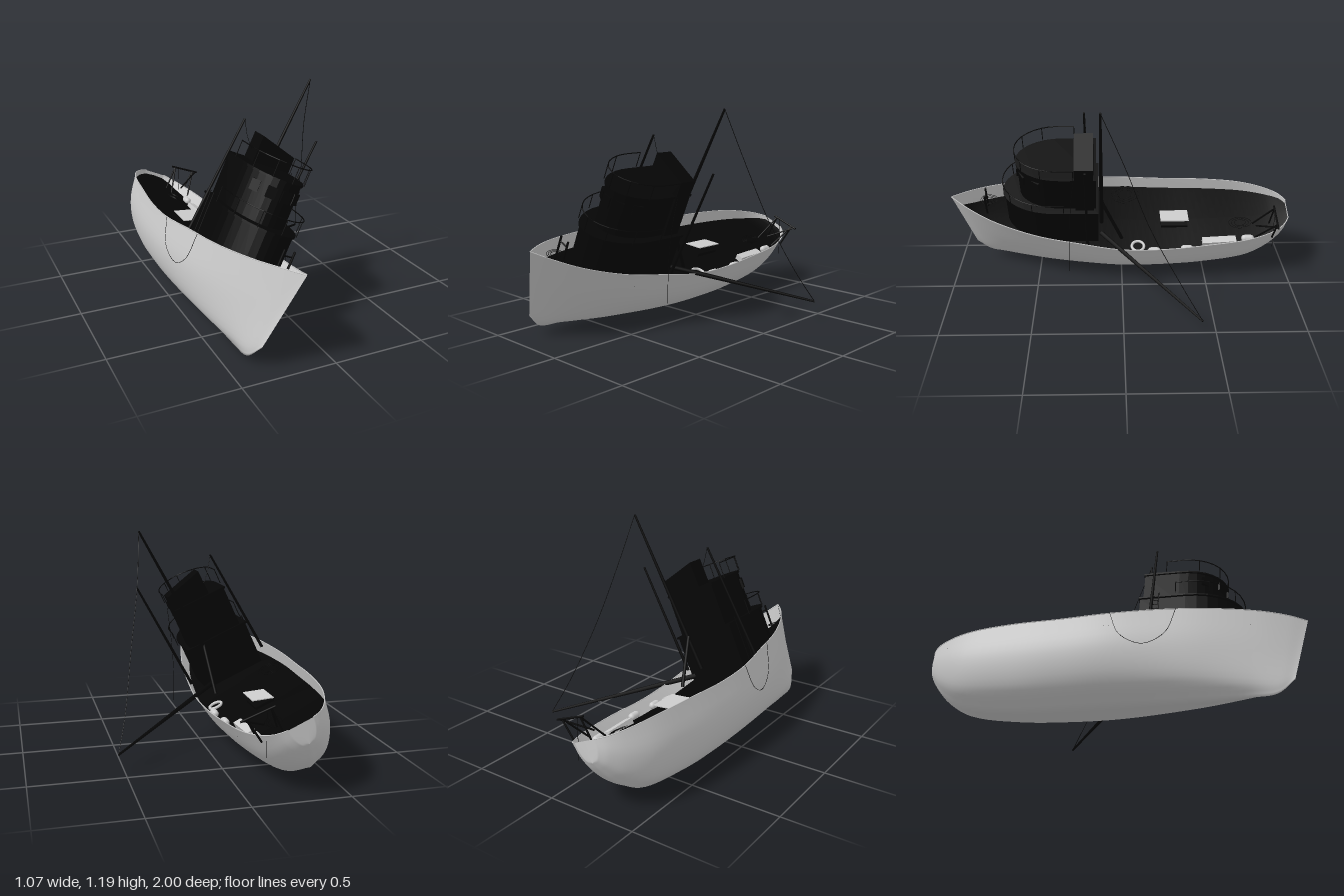
import * as THREE from 'three';

const V = (x, y, z) => new THREE.Vector3(x, y, z);
const ROLL = THREE.MathUtils.degToRad(24.5), C = Math.cos(ROLL), S = Math.sin(ROLL);
const KEEL = V(-0.396, 0.013, 0);
// upright (unrolled) ship coordinates of a point given in the final frame
const W = (x, y, z) => V((x - KEEL.x) * C - (y - KEEL.y) * S, (x - KEEL.x) * S + (y - KEEL.y) * C, z);

export function createModel() {
  const root = new THREE.Group();
  const ship = new THREE.Group();
  ship.name = 'listingShip';
  ship.position.copy(KEEL);
  ship.rotation.z = -ROLL;
  root.add(ship);

  const grey = new THREE.MeshStandardMaterial({ color: 0xcccccc });
  const greyThin = new THREE.MeshStandardMaterial({ color: 0xcccccc, side: THREE.DoubleSide });
  const black = new THREE.MeshStandardMaterial({ color: 0x050505 });
  const blackThin = new THREE.MeshStandardMaterial({ color: 0x050505, side: THREE.DoubleSide });

  const add = (name, geo, mat = black, p = V(0, 0, 0)) => {
    const m = new THREE.Mesh(geo, mat);
    m.name = name;
    m.position.copy(p);
    ship.add(m);
    return m;
  };
  const box = (name, w, h, d, p, mat) => add(name, new THREE.BoxGeometry(w, h, d), mat, p);
  // tapered round bar between two points
  const bar = (name, a, b, r0, r1 = r0, sides = 8) => {
    const m = add(name, new THREE.CylinderGeometry(r1, r0, a.distanceTo(b), sides), black, a.clone().lerp(b, 0.5));
    m.quaternion.setFromUnitVectors(V(0, 1, 0), b.clone().sub(a).normalize());
  };
  const rope = (name, pts, r = 0.0013, n = 24, mat = black) =>
    add(name, new THREE.TubeGeometry(new THREE.CatmullRomCurve3(pts), n, r, 5), mat);

  // surface through a grid of points
  const loft = (rows) => {
    const n = rows[0].length, pos = [], idx = [];
    rows.forEach((r) => r.forEach((p) => pos.push(p.x, p.y, p.z)));
    for (let i = 0; i < rows.length - 1; i++) for (let j = 0; j < n - 1; j++) {
      const a = i * n + j, b = a + n;
      idx.push(a, a + 1, b, a + 1, b + 1, b);
    }
    const g = new THREE.BufferGeometry();
    g.setAttribute('position', new THREE.Float32BufferAttribute(pos, 3));
    g.setIndex(idx);
    g.computeVertexNormals();
    return g;
  };

  // Hull stations: top z, bottom z, half width, gunwale height, keel height, fullness
  const stations = [
    [-1, -1, 0.065, 0.402, 0.29, 1], [-0.97, -0.97, 0.115, 0.397, 0.24, 1], [-0.9, -0.9, 0.167, 0.392, 0.15, 1],
    [-0.75, -0.77, 0.223, 0.39, 0.06, 1], [-0.5, -0.5, 0.259, 0.384, 0.01, 1], [-0.25, -0.25, 0.277, 0.372, 0, 1],
    [0, 0, 0.283, 0.38, 0, 1], [0.25, 0.25, 0.258, 0.41, 0, 0.95], [0.5, 0.47, 0.218, 0.436, 0, 0.8],
    [0.75, 0.68, 0.142, 0.477, 0.005, 0.6], [0.9, 0.81, 0.068, 0.511, 0.02, 0.4], [1, 0.9, 0.001, 0.535, 0.11, 0.2],
  ];
  const gunwale = new THREE.CatmullRomCurve3(stations.map((s) => V(s[2], s[3], s[0])));
  const keel = new THREE.CatmullRomCurve3(stations.map((s) => V(s[5], s[4], s[1])));
  const hullPoint = (u, v) => {
    const g = gunwale.getPoint(u), k = keel.getPoint(u), f = k.x;
    const sec = new THREE.CatmullRomCurve3([
      V(0, 0, 0), V(0.25 + 0.25 * f, 0.13, 0), V(0.55 + 0.3 * f, 0.5, 0), V(1, 1, 0)]).getPoint(Math.abs(v));
    const L = THREE.MathUtils.lerp;
    return V(Math.sign(v) * sec.x * g.x, L(k.y, g.y, sec.y), L(k.z, g.z, sec.y));
  };
  const NU = 66, NV = 28, rows = [], deckRows = [];
  for (let i = 0; i <= NU; i++) {
    const row = [], u = i / NU;
    for (let j = 0; j <= NV; j++) row.push(hullPoint(u, (j / NV) * 2 - 1));
    if (i === 0) rows.push(row.map((p) => V(0, p.y, p.z))); // closes the stern
    rows.push(row);
    const e = hullPoint(u, 0.87);
    deckRows.push([V(-e.x, e.y, e.z), V(0, e.y + 0.004, e.z), e]);
  }
  add('hull', loft(rows), greyThin);
  add('deck', loft(deckRows), blackThin);
  for (const s of [-1, 1]) {
    const pts = [];
    for (let i = 0; i <= 30; i++) pts.push(hullPoint(i / 30, s));
    rope('gunwaleTrim', pts, 0.003, 60, grey);
  }

  // Deckhouse tiers: straight sides with a rounded front
  const plan = (hw, back, mid, front) => {
    const p = [[-hw, back]];
    for (let i = 0; i <= 16; i++) {
      const t = Math.PI * (1 - i / 16);
      p.push([hw * Math.cos(t), mid + (front - mid) * Math.sin(t)]);
    }
    p.push([hw, back]);
    return p;
  };
  const extrude = (outline, depth) => new THREE.ExtrudeGeometry(
    new THREE.Shape(outline.map((q) => new THREE.Vector2(...q))), { depth, bevelEnabled: false });
  const tier = (name, outline, top, h) => add(name, extrude(outline, h).rotateX(Math.PI / 2).translate(0, top, 0));
  const railing = (name, outline, y, h) => {
    const pts = outline.map(([x, z]) => V(x, y, z));
    for (let i = 1; i < pts.length; i++) {
      bar(name, pts[i - 1].clone().setY(y + h), pts[i].clone().setY(y + h), 0.003, 0.003, 5);
    }
    pts.forEach((p, i) => { if (i % 3 === 0) bar(name + 'Post', p, p.clone().setY(y + h), 0.0025, 0.0025, 5); });
  };
  tier('lowerHouse', plan(0.185, 0.14, 0.38, 0.68), 0.6, 0.26);
  tier('bridgeDeck', plan(0.195, 0.135, 0.38, 0.69), 0.608, 0.012);
  tier('wheelhouse', plan(0.155, 0.15, 0.34, 0.59), 0.845, 0.25);
  tier('wheelhouseRoof', plan(0.163, 0.145, 0.34, 0.598), 0.853, 0.012);
  railing('bridgeRailing', plan(0.21, 0.33, 0.4, 0.685), 0.605, 0.085);
  railing('roofRailing', plan(0.172, 0.27, 0.36, 0.598), 0.85, 0.09);
  // aft casing with a sloping top, offset to the low side
  add('aftCasing', extrude([[-0.075, 0.38], [0.172, 0.38], [0.166, 0.94], [-0.06, 0.998]], 0.105), black, V(0, 0, 0.16));
  // window frames around the wheelhouse front
  for (let i = -2; i <= 2; i++) {
    const t = i * 0.48;
    box('windowFrame', 0.05, 0.06, 0.012, V(0.155 * Math.sin(t), 0.775, 0.34 + 0.25 * Math.cos(t))).rotation.y = t;
  }
  // ladder on the house side
  for (const z of [0.2, 0.24]) bar('ladderRail', V(-0.195, 0.35, z), V(-0.195, 0.63, z), 0.003);
  for (let i = 0; i < 8; i++) bar('ladderRung', V(-0.195, 0.37 + i * 0.033, 0.2), V(-0.195, 0.37 + i * 0.033, 0.24), 0.002);

  // Masts, side poles, boom and its strut
  const mastTop = W(0.315, 1.185, 0.115), boomEnd = W(0.53, 0.09, -0.42), poleTop = W(-0.12, 1.035, 0.21);
  bar('mainMast', W(-0.15, 0.34, 0.12), mastTop, 0.013, 0.006);
  bar('sidePole', W(-0.447, 0.47, 0.21), poleTop, 0.009, 0.006);
  bar('sidePole', W(-0.006, 0.268, 0.2), W(0.315, 0.855, 0.2), 0.009, 0.006);
  bar('boom', W(-0.11, 0.285, 0.12), boomEnd, 0.015, 0.006);
  bar('boomStrut', W(-0.06, 0.52, 0.12), W(-0.1, 0.255, 0), 0.01);

  // Rigging
  rope('boomStay', [mastTop, W(0.35, 0.9, -0.01), W(0.41, 0.58, -0.14), W(0.475, 0.27, -0.31), boomEnd], 0.0018);
  rope('poleLine', [poleTop, W(-0.1, 0.93, 0.2), W(-0.06, 0.84, 0.2), W(0.02, 0.77, 0.2)]);
  rope('hangingLine', [W(0.125, 0.72, 0.27), W(0.1, 0.55, 0.29), W(0.083, 0.35, 0.3), W(0.08, 0.14, 0.305)]);
  rope('sideLine', [hullPoint(0.67, -1), hullPoint(0.65, -0.76), hullPoint(0.61, -0.66), hullPoint(0.57, -0.76), hullPoint(0.55, -1)]
    .map((p) => p.add(V(-0.004, 0, 0))));

  // Rope coils lying on deck
  const coil = (x, y, z, r, rz) => {
    const pts = [];
    for (let i = 0; i <= 48; i++) {
      const t = (i / 16) * Math.PI * 2, q = r * (1 - i / 75);
      pts.push(V(x + q * Math.cos(t), y, z + q * rz * Math.sin(t)));
    }
    rope('ropeCoil', pts, 0.0014, 96);
  };
  coil(-0.18, 0.335, -0.03, 0.075, 1.25);
  coil(0.06, 0.345, -0.72, 0.045, 1.7);
  coil(-0.05, 0.45, 0.79, 0.04, 1.4);

  // Bow mooring posts
  for (const s of [-1, 1]) bar('bowPost', V(s * 0.03, 0.42, 0.8), V(s * 0.03, 0.575, 0.8), 0.006);
  bar('bowCrossbar', V(-0.035, 0.545, 0.8), V(0.035, 0.545, 0.8), 0.004);

  // Stern davit
  bar('davitBeam', W(-0.14, 0.44, -0.9), W(0.03, 0.375, -0.9), 0.006);
  for (const [x0, y0, x1, y1] of [[-0.19, 0.3, -0.12, 0.432], [-0.08, 0.265, 0, 0.387]]) {
    bar('davitLeg', W(x0, y0, -0.89), W(x1, y1, -0.9), 0.005);
    bar('davitBrace', W(x0, y0, -0.79), W(x1, y1, -0.9), 0.005);
  }
  bar('davitStay', W(-0.12, 0.32, -0.8), W(0.02, 0.38, -0.9), 0.005);
  rope('davitLine', [W(-0.1, 0.425, -0.9), W(-0.1, 0.32, -0.9), W(-0.1, 0.19, -0.9)]);

  // Hatch with a level lid, locker, fenders and lifebuoy
  box('hatchCoaming', 0.11, 0.02, 0.16, V(0.005, 0.31, -0.32));
  box('hatchLid', 0.12, 0.005, 0.17, W(-0.25, 0.325, -0.32), grey).rotation.z = ROLL * 0.8;
  box('locker', 0.045, 0.035, 0.2, W(-0.095, 0.232, -0.58), grey).rotation.y = 0.06;
  for (const [x, y, z] of [[-0.1, 0.248, -0.75], [-0.045, 0.212, -0.385], [-0.04, 0.202, -0.19]]) {
    add('fender', new THREE.CapsuleGeometry(0.02, 0.035, 6, 14).rotateX(Math.PI / 2), grey, W(x, y, z));
  }
  add('lifebuoy', new THREE.TorusGeometry(0.036, 0.008, 10, 28).rotateX(Math.PI / 2), grey, W(-0.073, 0.215, -0.095));

  return root;
}
